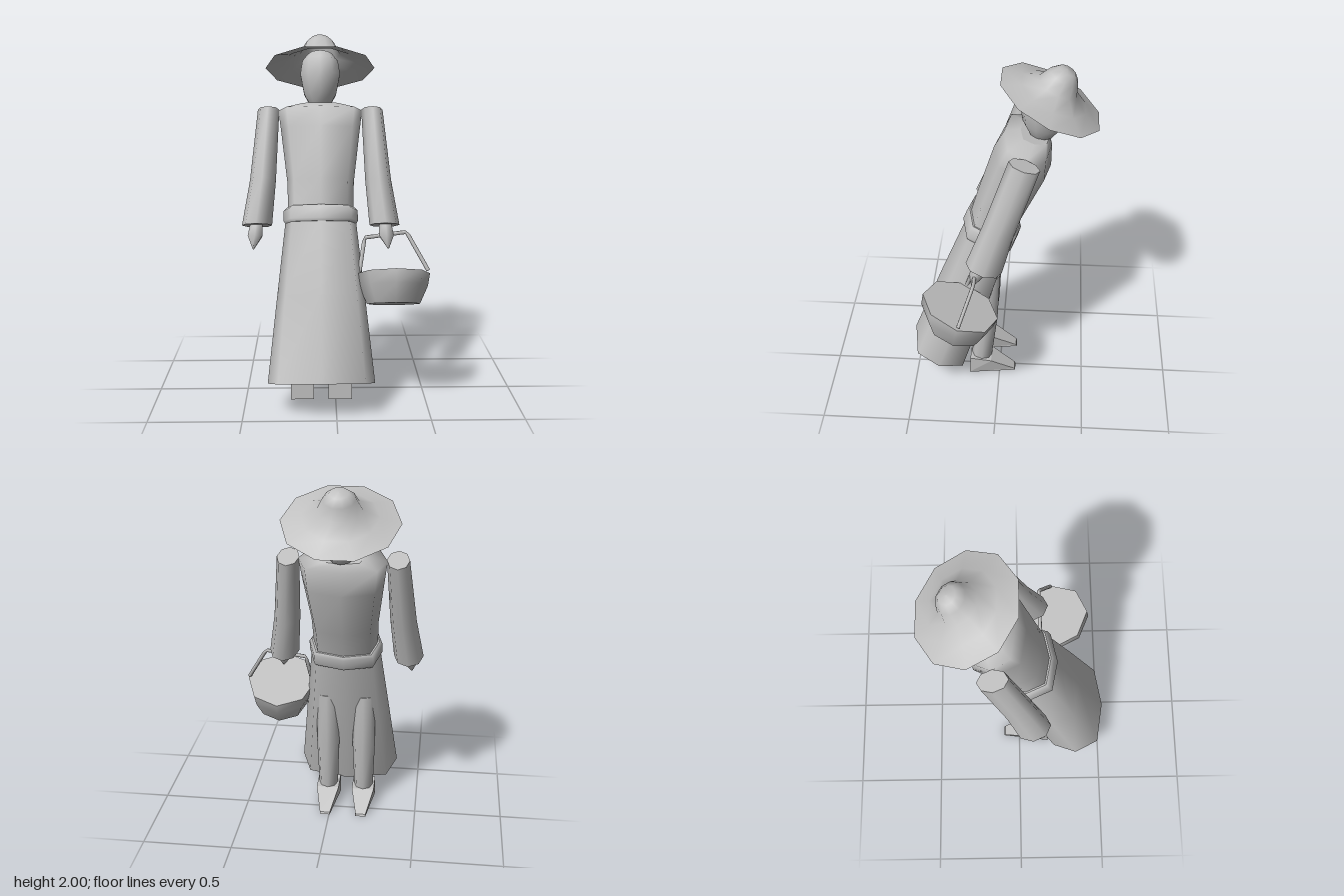
import * as THREE from 'three';

const grey = new THREE.MeshStandardMaterial({ color: 0xc0c0c0, side: THREE.DoubleSide });
grey.name = 'plain grey';

const CX = -0.08; // centre line of the figure
const circle = n => Array.from({ length: n }, (_, i) => {
  const a = i / n * Math.PI * 2;
  return [Math.sin(a), Math.cos(a)];
});
// softly squared eight-sided outline for the clothes
const robe = [[0, 1], [0.8, 0.78], [1, 0], [0.8, -0.78], [0, -1], [-0.8, -0.78], [-1, 0], [-0.8, 0.78]];

// Skins rings [x, y, z, rx, rz, tilt in degrees], listed bottom to top, and closes both ends.
function loft(name, rings, outline = circle(8)) {
  const pos = [], idx = [], n = outline.length;
  const addRing = ([x, y, z, rx, rz, tilt = 0]) => {
    const t = THREE.MathUtils.degToRad(tilt), start = pos.length / 3;
    for (const [u, v] of outline) pos.push(x + u * rx, y + v * rz * Math.sin(t), z + v * rz * Math.cos(t));
    return start;
  };
  const starts = rings.map(addRing);
  for (let i = 0; i < starts.length - 1; i++) {
    for (let j = 0; j < n; j++) {
      const k = (j + 1) % n, a = starts[i], b = starts[i + 1];
      idx.push(a + j, a + k, b + k, a + j, b + k, b + j);
    }
  }
  for (const [ring, top] of [[rings[0], false], [rings.at(-1), true]]) {
    const s = addRing(ring), c = pos.length / 3;
    pos.push(ring[0], ring[1], ring[2]);
    for (let j = 0; j < n; j++) {
      const k = (j + 1) % n;
      idx.push(c, s + (top ? j : k), s + (top ? k : j));
    }
  }
  const g = new THREE.BufferGeometry();
  g.setAttribute('position', new THREE.Float32BufferAttribute(pos, 3));
  g.setIndex(idx);
  g.computeVertexNormals();
  return part(name, g);
}

function part(name, geometry) {
  const m = new THREE.Mesh(geometry, grey);
  m.name = name;
  return m;
}

// Wedge shoe, narrowing to the toe
function shoe(x) {
  const s = new THREE.Shape([[-0.18, 0], [0.095, 0], [0.09, 0.012], [-0.05, 0.1], [-0.175, 0.115]]
    .map(p => new THREE.Vector2(...p)));
  const g = new THREE.ExtrudeGeometry(s, { depth: 0.13, bevelEnabled: false });
  g.translate(0, 0, -0.065);
  g.rotateY(Math.PI / 2);
  const p = g.attributes.position;
  for (let i = 0; i < p.count; i++) if (p.getZ(i) < -0.05) p.setX(i, p.getX(i) * 0.45);
  g.computeVertexNormals();
  g.translate(x, 0, 0);
  return part('shoe', g);
}

export function createModel() {
  const model = new THREE.Group();
  model.name = 'leaning figure with basket';

  // Clothes
  model.add(
    loft('skirt', [
      [CX, 0.155, 0.35, 0.29, 0.18, 18],
      [CX, 0.6, 0.195, 0.24, 0.165, 18],
      [CX, 0.99, 0.06, 0.195, 0.145, 18]], robe),
    loft('belt', [
      [CX, 0.975, 0.064, 0.195, 0.155, 18],
      [CX, 0.99, 0.059, 0.205, 0.163, 18],
      [CX, 1.045, 0.04, 0.205, 0.16, 18],
      [CX, 1.06, 0.035, 0.19, 0.148, 18]], robe),
    loft('torso', [
      [CX, 1.05, 0.038, 0.18, 0.138, 18],
      [CX, 1.2, -0.012, 0.185, 0.145, 18],
      [CX, 1.47, -0.115, 0.22, 0.162, 18],
      [CX, 1.585, -0.143, 0.235, 0.132, 16],
      [CX, 1.615, -0.18, 0.12, 0.08, 14]], robe));

  // Paired limbs
  for (const s of [-1, 1]) {
    const at = d => CX + s * d;
    model.add(
      loft('sleeve', [
        [at(0.352), 0.97, 0.072, 0.083, 0.102, 17],
        [at(0.32), 1.21, -0.008, 0.072, 0.088, 18],
        [at(0.29), 1.59, -0.135, 0.06, 0.085, 18]]),
      loft('hand', [
        [at(0.37), 0.85, 0.135, 0.004, 0.004],
        [at(0.36), 0.92, 0.115, 0.046, 0.04, 15],
        [at(0.352), 1.0, 0.075, 0.036, 0.035, 15]], circle(6)),
      loft('leg', [
        [at(0.105), 0.09, 0.11, 0.055, 0.06],
        [at(0.105), 0.4, 0.08, 0.066, 0.066],
        [at(0.105), 0.72, 0.06, 0.06, 0.06]]),
      shoe(at(0.105)));
  }

  // Head and nose
  model.add(loft('head', [
    [CX, 1.61, -0.21, 0.06, 0.065, 10],
    [CX, 1.67, -0.215, 0.095, 0.105, 10],
    [CX, 1.78, -0.222, 0.117, 0.132, 12],
    [CX, 1.845, -0.245, 0.105, 0.11, 25],
    [CX, 1.89, -0.27, 0.07, 0.07, 25]], circle(10)));
  const nose = part('nose', new THREE.ConeGeometry(0.032, 0.075, 4));
  nose.position.set(CX, 1.683, -0.34);
  nose.rotation.x = 0.15;
  model.add(nose);

  // Wide ten-sided hat, tipped over the face
  const profile = [[0.31, 0], [0.2, 0.035], [0.115, 0.085], [0.085, 0.15], [0.05, 0.185], [0, 0.19]]
    .map(p => new THREE.Vector2(...p)).reverse();
  const hat = part('hat', new THREE.LatheGeometry(profile, 10, Math.PI / 10 * 5));
  hat.scale.z = 0.96;
  hat.position.set(CX, 1.818, -0.255);
  hat.rotation.x = -THREE.MathUtils.degToRad(25.7);
  model.add(hat);

  // Covered basket with a bent handle
  const basket = new THREE.Group();
  basket.name = 'basket';
  basket.add(loft('basketBody', [
    [0.314, 0.5625, 0.23, 0.145, 0.162, 18],
    [0.314, 0.66, 0.218, 0.188, 0.212, 20],
    [0.314, 0.725, 0.2, 0.2, 0.22, 21]]));
  const bends = [[0.13, 0.73, 0.18], [0.16, 0.91, 0.125], [0.39, 0.94, 0.12], [0.505, 0.74, 0.195]]
    .map(p => new THREE.Vector3(...p));
  const path = new THREE.CurvePath();
  for (let i = 0; i < 3; i++) path.add(new THREE.LineCurve3(bends[i], bends[i + 1]));
  basket.add(part('basketHandle', new THREE.TubeGeometry(path, 24, 0.011, 6)));
  model.add(basket);

  return model;
}
